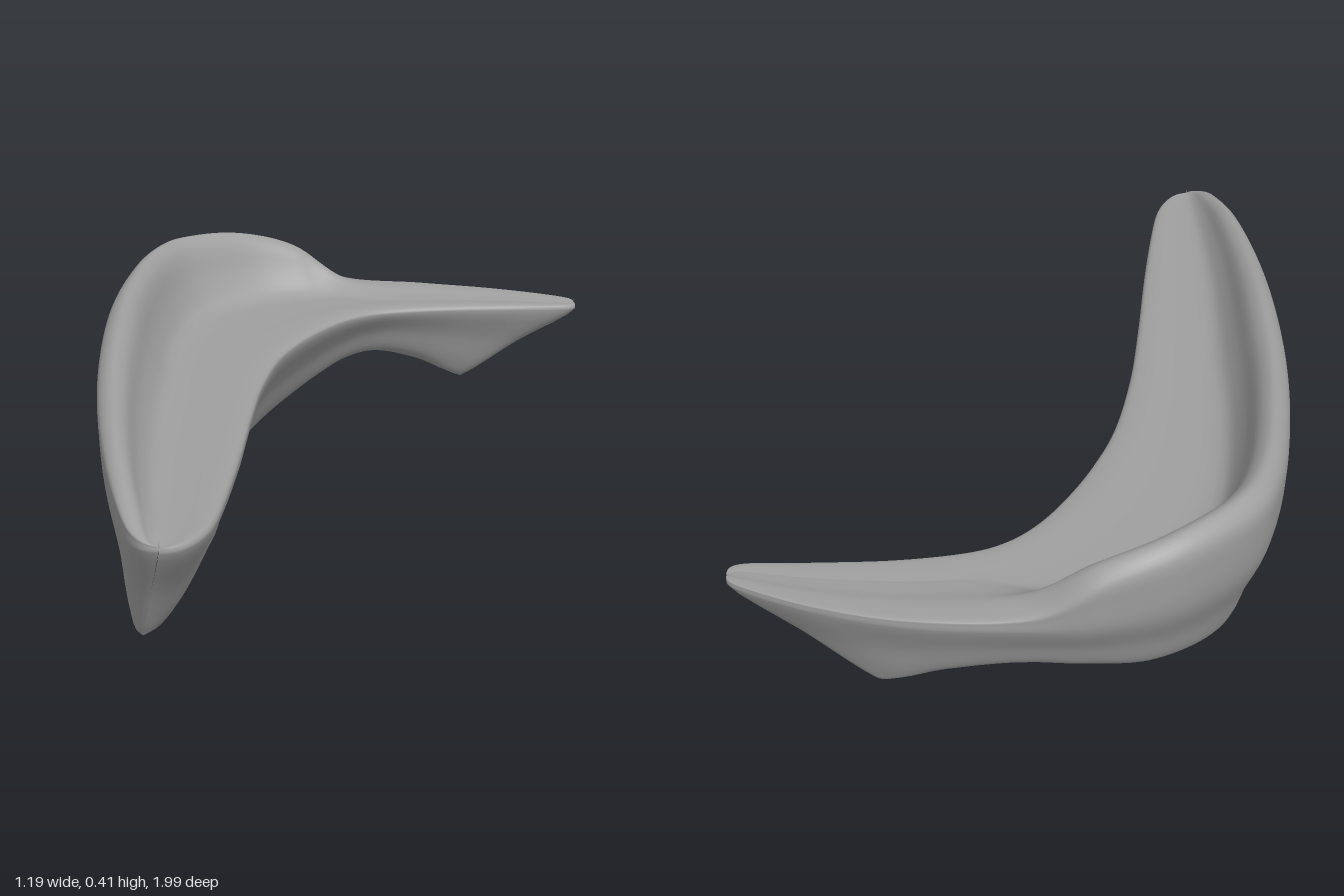
import * as THREE from 'three';
import { mergeVertices } from 'three/addons/utils/BufferGeometryUtils.js';

const SEAT = 0.232, RINGS = 160, SIDES = 72;

// Plan outline [x, z]: outer edge from front tip to back tip, then the inner edge back again
const outline = new THREE.CatmullRomCurve3([
  [0.572, 0.978], [0.53, 0.99], [0.46, 0.955], [0.3, 0.83], [0.1, 0.645], [-0.1, 0.435],
  [-0.3, 0.2], [-0.46, -0.02], [-0.56, -0.19], [-0.6, -0.33], [-0.57, -0.51], [-0.485, -0.645],
  [-0.38, -0.737], [-0.2, -0.868], [-0.02, -0.953], [0.15, -0.999],
  [0.2, -0.988],
  [0.212, -0.945], [0.11, -0.852], [-0.01, -0.742], [-0.1, -0.638], [-0.14, -0.56],
  [-0.15, -0.47], [-0.135, -0.36], [-0.1, -0.23], [-0.04, -0.08], [0.07, 0.11], [0.2, 0.3],
  [0.35, 0.51], [0.487, 0.71], [0.567, 0.84], [0.592, 0.93],
].map(([x, z]) => new THREE.Vector3(x, 0, z)), true, 'catmullrom', 0.5);
const outer = s => outline.getPoint(s / 32);
const inner = s => outline.getPoint(1 - s / 32);

// Per station: backrest top height, station the base is taken from, underside height
const profile = new THREE.CatmullRomCurve3([
  [0.234, 2.2, 0.02], [0.247, 2.5, 0.012], [0.27, 2.9, 0.008], [0.312, 3.5, 0.004],
  [0.343, 4.3, 0], [0.37, 5.1, 0], [0.388, 6, 0], [0.397, 7, 0], [0.403, 8, 0.002],
  [0.405, 9, 0.015], [0.394, 10, 0.048], [0.352, 10.95, 0.085], [0.264, 11.9, 0.1],
  [0.247, 12.6, 0.078], [0.242, 13.05, 0.045], [0.238, 13.3, 0.026], [0.234, 13.4, 0.02],
].map(p => new THREE.Vector3(...p)), false, 'catmullrom', 0.5);

// Closed cross-section at station s (0 to 16)
function section(s) {
  const { x: backY, y: baseS, z: baseY } = profile.getPoint(s / 16);
  const O = outer(s), I = inner(s), BO = outer(baseS), BI = inner(baseS);
  const h = backY - SEAT, k = Math.min(1, h / 0.17);
  // the backrest widens and melts into the seat along the back arm
  const spread = (1 + 0.5 * THREE.MathUtils.smoothstep(s, 11, 12.5)) / Math.max(O.distanceTo(I), 0.36);
  const half = 0.27 * Math.min(1, Math.sqrt(s / 4), Math.sqrt((16 - s) / 4));
  const centre = 0.49 - 0.24 * Math.max(0, 1 - s / 4);
  const top = (t, y) => O.clone().lerp(I, t).setY(y);
  const base = (side, y) => BO.clone().lerp(BI, centre + side * half).setY(y);
  const wall = (t, side, f) => base(side, baseY).lerp(top(t, SEAT), f);
  return new THREE.CatmullRomCurve3([
    base(0, baseY),
    base(-0.8, baseY + 0.003),
    wall(0.03 * k, -1, 0.12),             // outer wall
    wall(0.03 * k, -1, 0.5),
    top(0.03 * k, SEAT - 0.008),
    top(0, SEAT + 0.45 * h),              // backrest
    top(0.005, SEAT + 0.85 * h),
    top(0.035 * spread, SEAT + h),
    top(0.07 * spread, SEAT + 0.87 * h),
    top(0.105 * spread, SEAT + 0.4 * h),
    top(0.15 * spread, SEAT + 0.06 * h),
    top(0.65, SEAT),                      // seat
    top(0.96, SEAT),
    top(1, SEAT - 0.012),
    wall(1, 1, 0.5),                      // inner wall
    wall(1, 1, 0.12),
    base(0.8, baseY + 0.003),
  ], true, 'centripetal');
}

export function createModel() {
  const positions = [], index = [];
  for (let r = 0; r <= RINGS; r++) {
    const curve = section(16 * r / RINGS);
    for (let i = 0; i < SIDES; i++) {
      const p = curve.getPoint(i / SIDES);
      positions.push(p.x, Math.max(0, p.y), p.z);
      if (r === RINGS) continue;
      const a = r * SIDES + i, b = r * SIDES + (i + 1) % SIDES;
      index.push(a, b, a + SIDES, b, b + SIDES, a + SIDES);
    }
  }
  let geometry = new THREE.BufferGeometry();
  geometry.setAttribute('position', new THREE.Float32BufferAttribute(positions, 3));
  geometry.setIndex(index);
  geometry = mergeVertices(geometry, 1e-4);
  geometry.computeVertexNormals();

  const bench = new THREE.Mesh(geometry, new THREE.MeshStandardMaterial({ color: 0x9f9f9f }));
  bench.name = 'curvedBench';
  const group = new THREE.Group();
  group.name = 'curvedBenchWithBackrest';
  group.add(bench);
  return group;
}
